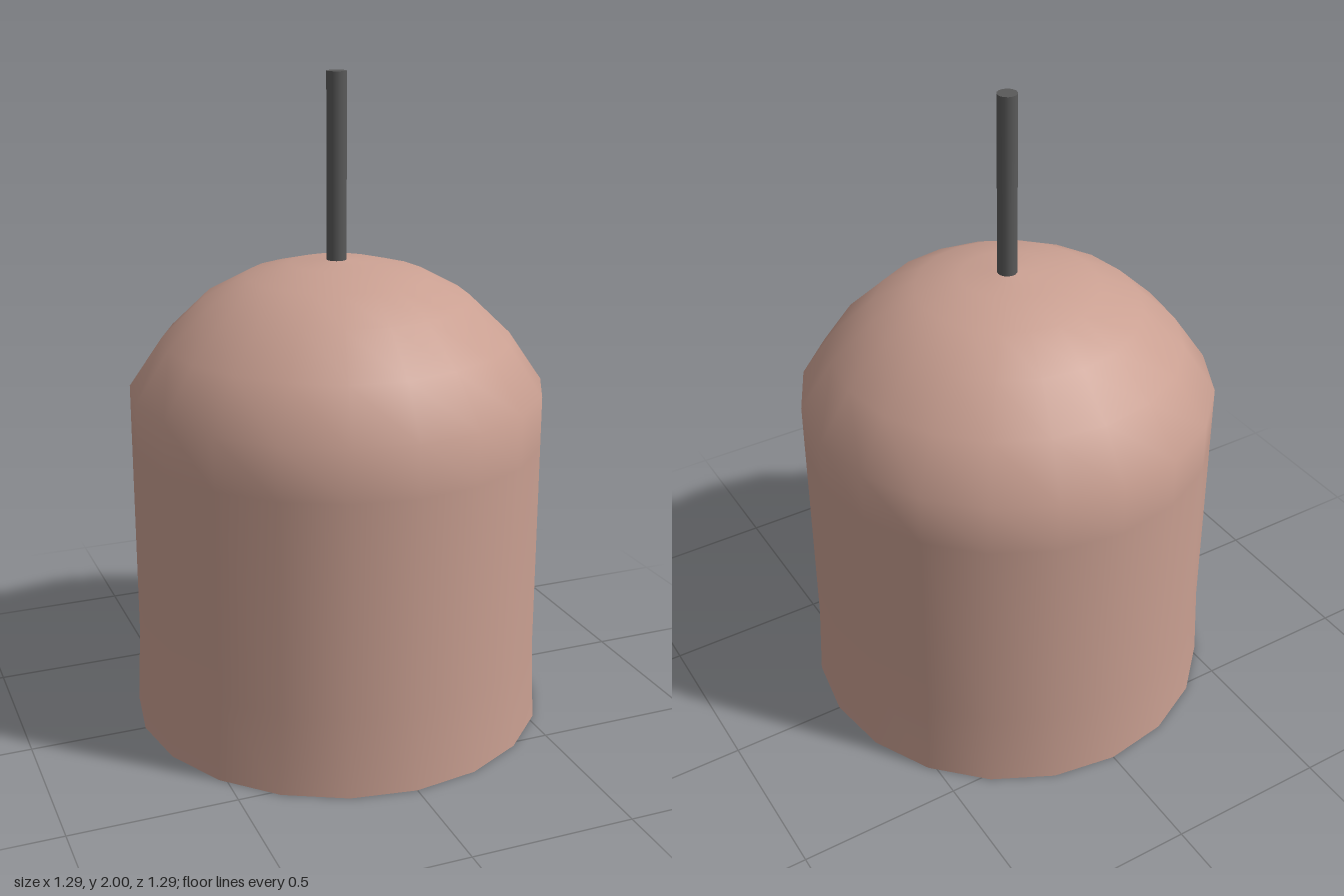
import * as THREE from 'three';

const SIDES = 20;

// Revolve a [radius, height] profile; ascending profiles face outward
function revolve(name, profile, material) {
  const points = profile.map(([r, y]) => new THREE.Vector2(r, y));
  const mesh = new THREE.Mesh(new THREE.LatheGeometry(points, SIDES), material);
  mesh.name = name;
  return mesh;
}

export function createModel() {
  const model = new THREE.Group();
  model.name = 'pendantLamp';
  const shadeMaterial = new THREE.MeshStandardMaterial({ color: 0xc99f91 });
  const rodMaterial = new THREE.MeshStandardMaterial({ color: 0x595959 });

  // Hollow domed shade: outer skin, inner skin and the flat rim joining them
  const outer = [
    [0.643, 0], [0.632, 0.25], [0.632, 0.9], [0.632, 1.06], [0.53, 1.21],
    [0.405, 1.33], [0.275, 1.4], [0.14, 1.435], [0, 1.447],
  ];
  const inner = [
    [0, 1.41], [0.13, 1.4], [0.26, 1.365], [0.385, 1.295], [0.5, 1.185],
    [0.592, 1.045], [0.592, 0.9], [0.592, 0.25], [0.603, 0],
  ];
  const shade = new THREE.Group();
  shade.name = 'shade';
  shade.add(
    revolve('shadeOuter', outer, shadeMaterial),
    revolve('shadeInner', inner, shadeMaterial),
    revolve('shadeRim', [inner[inner.length - 1], outer[0]], shadeMaterial),
  );
  model.add(shade);

  // Hanging rod rising from the crown
  const rodBottom = 1.44, rodTop = 2;
  const rod = new THREE.Mesh(
    new THREE.CylinderGeometry(0.03, 0.03, rodTop - rodBottom, 16), rodMaterial);
  rod.name = 'hangingRod';
  rod.position.y = (rodBottom + rodTop) / 2;
  model.add(rod);

  return model;
}
